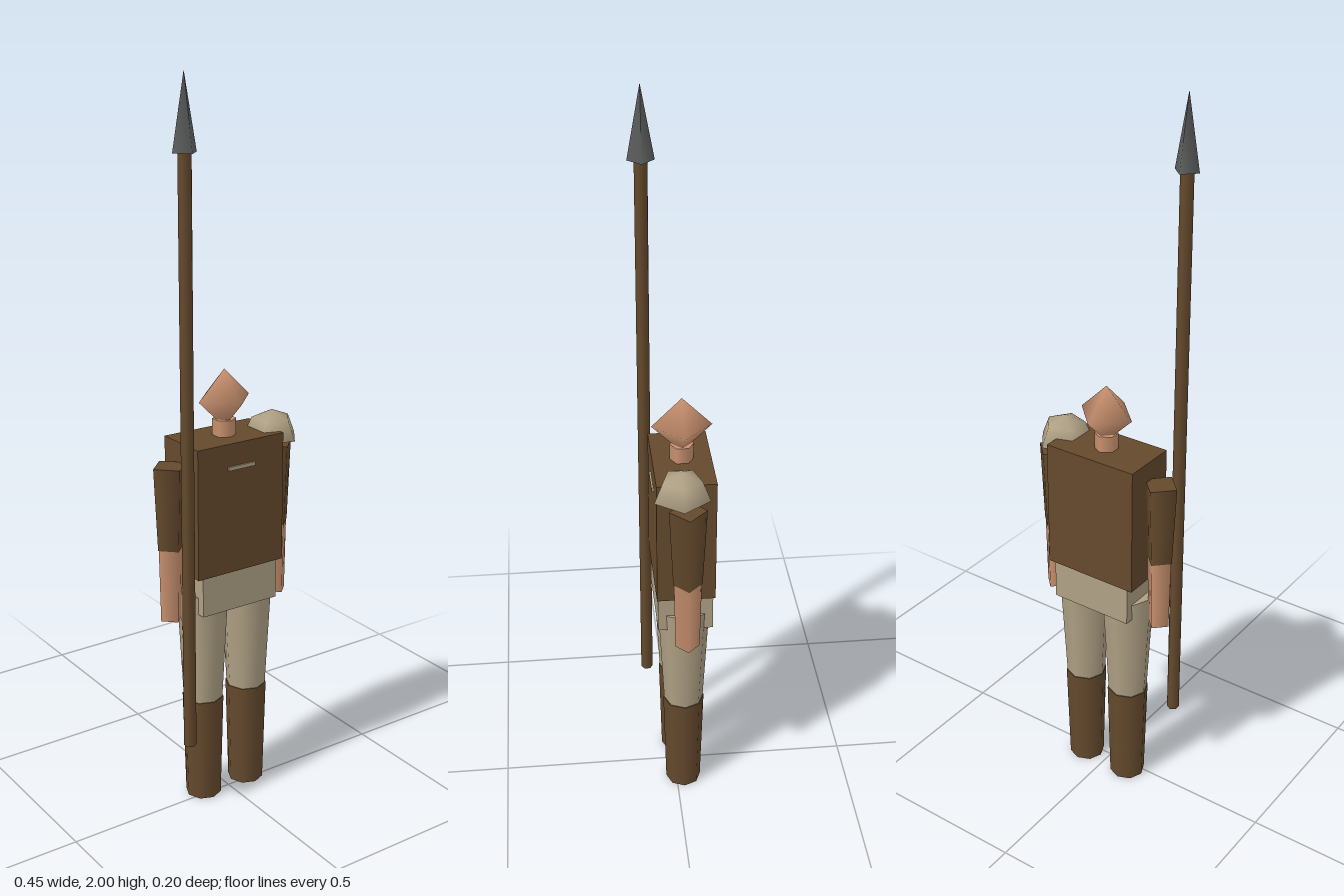
import * as THREE from 'three';

const mat = (name, color, side = THREE.FrontSide) => {
  const m = new THREE.MeshStandardMaterial({ color, side });
  m.name = name;
  return m;
};

export function createModel() {
  const leather = mat('brown leather', 0x654a2d);
  const cloth = mat('tan cloth', 0xb0a185, THREE.DoubleSide);
  const skin = mat('skin', 0xc9916f);
  const iron = mat('dark iron', 0x5b5f5e);

  const group = new THREE.Group();
  const midZ = -0.02;

  const add = (name, geometry, material, x, y, z, parent = group) => {
    const mesh = new THREE.Mesh(geometry, material);
    mesh.name = name;
    mesh.position.set(x, y, z);
    parent.add(mesh);
    return mesh;
  };
  // Tapered limb section standing between two heights
  const limb = (name, material, rTop, rBottom, y0, y1, sides, x, z, parent) =>
    add(name, new THREE.CylinderGeometry(rTop, rBottom, y1 - y0, sides), material, x, (y0 + y1) / 2, z, parent);

  // Body
  add('torso', new THREE.BoxGeometry(0.274, 0.362, 0.158), leather, 0, 0.874, midZ);
  add('hips', new THREE.BoxGeometry(0.24, 0.115, 0.15), cloth, 0, 0.639, midZ);
  add('necklineTrim', new THREE.BoxGeometry(0.085, 0.01, 0.006), cloth, 0, 0.988, 0.061);

  // Head and neck
  limb('neck', skin, 0.032, 0.032, 1.04, 1.1, 6, 0, midZ);
  add('head', new THREE.SphereGeometry(0.08, 4, 2), skin, 0, 1.155, midZ);

  // Arms and legs
  for (const [side, s] of [['left', 1], ['right', -1]]) {
    const arm = new THREE.Group();
    arm.name = side + 'Arm';
    limb('sleeve', leather, 0.05, 0.039, 0.77, 1.0, 4, s * 0.173, midZ, arm);
    limb('forearm', skin, 0.037, 0.033, 0.565, 0.772, 4, s * 0.173, midZ, arm);
    const leg = new THREE.Group();
    leg.name = side + 'Leg';
    limb('trouserLeg', cloth, 0.072, 0.055, 0.3, 0.63, 8, s * 0.073, midZ, leg);
    limb('boot', leather, 0.058, 0.05, 0, 0.305, 8, s * 0.073, midZ, leg);
    group.add(arm, leg);
  }

  // Domed guard on the left shoulder
  const guard = new THREE.SphereGeometry(0.077, 5, 2, 0, Math.PI * 2, 0, Math.PI / 2);
  guard.rotateY(Math.PI);
  add('shoulderGuard', guard, cloth, 0.146, 1.026, -0.006);

  // Spear
  const spear = new THREE.Group();
  spear.name = 'spear';
  limb('spearShaft', leather, 0.017, 0.017, 0.22, 1.815, 6, -0.173, 0.066, spear);
  add('spearHead', new THREE.ConeGeometry(0.035, 0.19, 4), iron, -0.173, 1.905, 0.066, spear);
  group.add(spear);

  return group;
}
